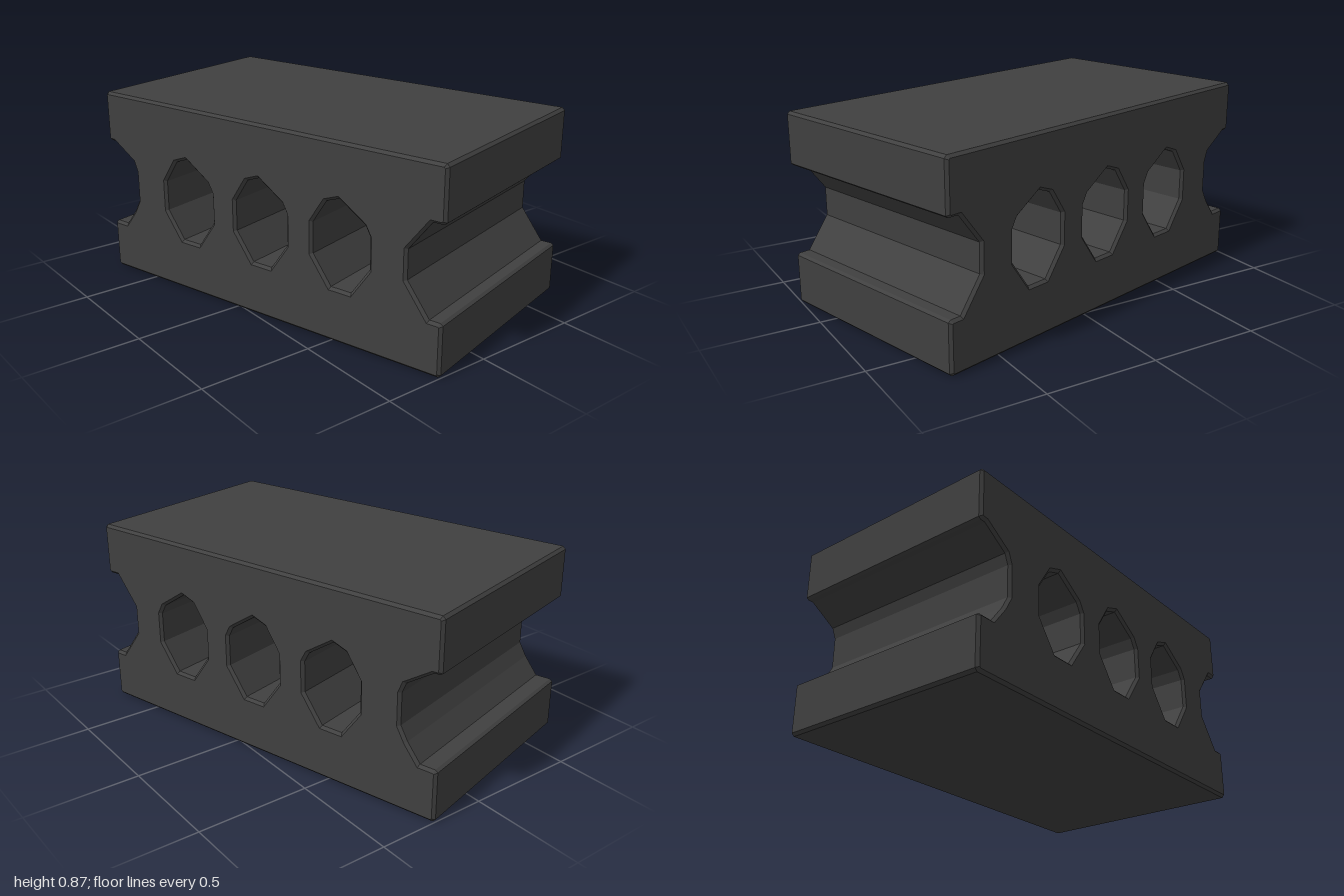
import * as THREE from 'three';

const LENGTH = 1.81, HEIGHT = 0.865, DEPTH = 1.004, CHAMFER = 0.012, MID = 0.432;

const toPoints = (pairs) => pairs.map(([x, y]) => new THREE.Vector2(x, y));

// Brick outline: chamfered corners, with a half-hole groove in each end
function brickOutline() {
  const e = LENGTH / 2, c = CHAMFER, h = HEIGHT;
  return new THREE.Shape(toPoints([
    [-e + c, 0], [e - c, 0], [e, c],
    [e, 0.223], [e - c, 0.232], [0.845, 0.232], [0.742, 0.37], [0.742, 0.498], [0.845, 0.63], [e - c, 0.63], [e, 0.64],
    [e, h - c], [e - c, h], [-e + c, h], [-e, h - c],
    [-e, 0.64], [-e + c, 0.632], [-0.87, 0.632], [-0.75, 0.555], [-0.732, 0.51], [-0.732, 0.37], [-0.765, 0.31],
    [-0.825, 0.232], [-e + c, 0.232], [-e, 0.223], [-e, c],
  ]));
}

// Roughly octagonal through-hole
function holeAt(x) {
  const ring = [
    [-0.141, 0.07], [-0.072, 0.174], [-0.008, 0.197], [0.116, 0.116], [0.14, 0.072],
    [0.14, -0.066], [0.05, -0.192], [-0.05, -0.192], [-0.141, -0.068],
  ];
  return new THREE.Path(toPoints(ring.map(([px, py]) => [x + px, MID + py])));
}

export function createModel() {
  const group = new THREE.Group();
  const shape = brickOutline();
  for (const x of [-0.4, 0.016, 0.43]) shape.holes.push(holeAt(x));

  // Extrude through the depth, bevelling the front and back rims inward
  const geometry = new THREE.ExtrudeGeometry(shape, {
    depth: DEPTH - 2 * CHAMFER,
    bevelEnabled: true,
    bevelThickness: CHAMFER,
    bevelSize: CHAMFER,
    bevelOffset: -CHAMFER,
    bevelSegments: 1,
  });
  geometry.translate(0, 0, -DEPTH / 2 + CHAMFER);

  const material = new THREE.MeshStandardMaterial({ color: 0x404040, flatShading: true });
  const brick = new THREE.Mesh(geometry, material);
  brick.name = 'brick';
  // The brick lies turned on the ground
  brick.rotation.y = THREE.MathUtils.degToRad(15);
  group.add(brick);
  group.name = 'hollowBrick';
  return group;
}
